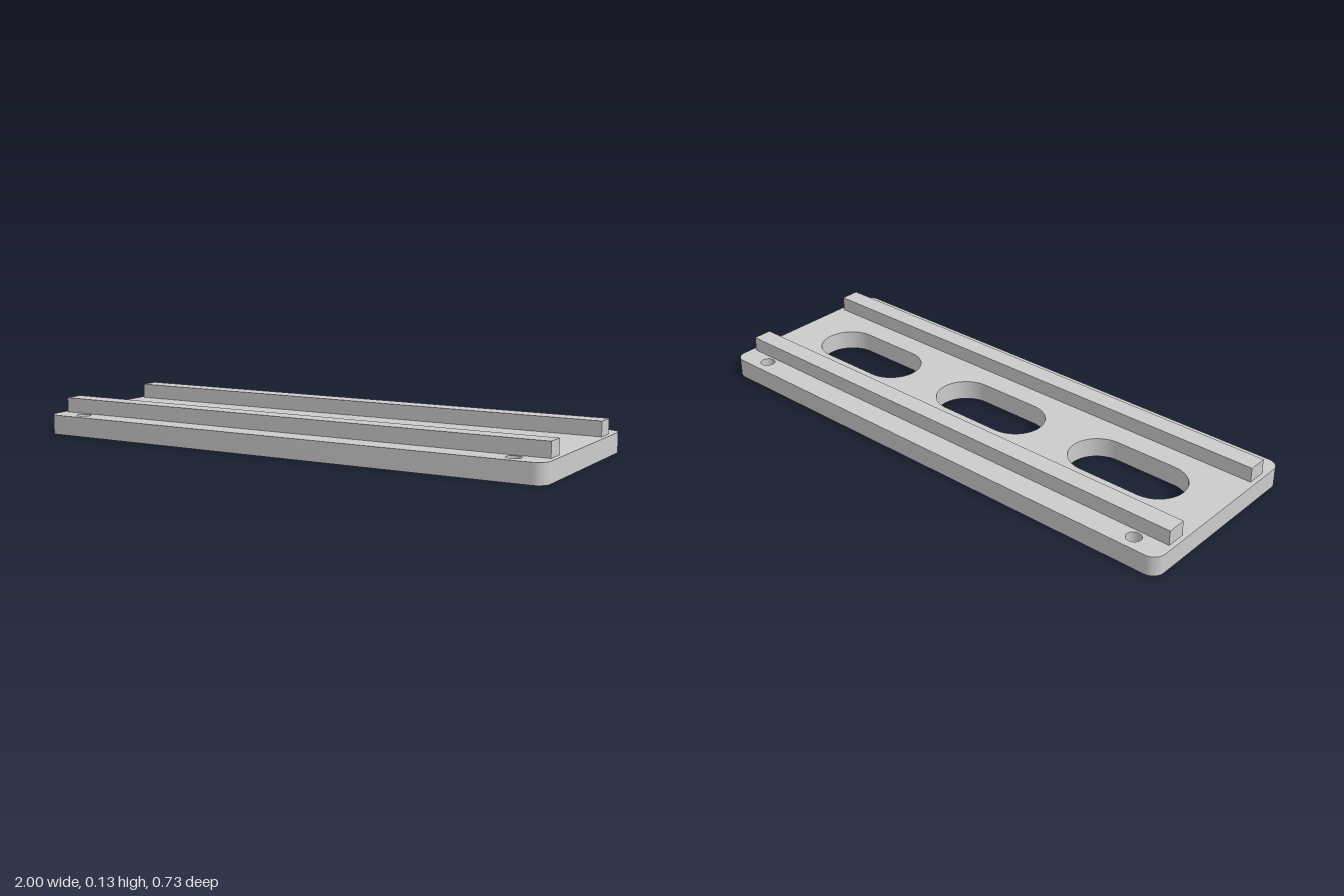
import * as THREE from 'three';
import { toCreasedNormals } from 'three/addons/utils/BufferGeometryUtils.js';

const WIDTH = 2, DEPTH = 0.728, THICKNESS = 0.073, CORNER = 0.045;
const RAIL = { length: 1.966, height: 0.055, depth: 0.073, z: 0.237 };

// Rounded rectangle outline centred on (cx, cy); also makes slots and round holes
function roundedRect(path, cx, cy, w, h, r) {
  const x = w / 2 - r, y = h / 2 - r;
  path.absarc(cx + x, cy + y, r, 0, Math.PI / 2);
  path.absarc(cx - x, cy + y, r, Math.PI / 2, Math.PI);
  path.absarc(cx - x, cy - y, r, Math.PI, Math.PI * 1.5);
  path.absarc(cx + x, cy - y, r, Math.PI * 1.5, Math.PI * 2);
  path.closePath();
  return path;
}

export function createModel() {
  const group = new THREE.Group();
  group.name = 'slottedRailPlate';
  const material = new THREE.MeshStandardMaterial({ color: 0xcccccc });

  // Base plate outline
  const outline = roundedRect(new THREE.Shape(), 0, 0, WIDTH, DEPTH, CORNER);

  // Three long slots along the middle
  for (const x of [-0.62, 0, 0.62]) {
    outline.holes.push(roundedRect(new THREE.Path(), x, 0, 0.458, 0.22, 0.11));
  }

  // Screw holes near the corners
  for (const x of [-0.873, 0.873]) {
    for (const z of [-0.309, 0.309]) {
      outline.holes.push(new THREE.Path().absarc(x, z, 0.027, 0, Math.PI * 2));
    }
  }

  const plateGeometry = new THREE.ExtrudeGeometry(outline, {
    depth: THICKNESS, bevelEnabled: false, curveSegments: 16,
  });
  plateGeometry.rotateX(-Math.PI / 2);
  const plate = new THREE.Mesh(toCreasedNormals(plateGeometry, Math.PI / 5), material);
  plate.name = 'basePlate';
  group.add(plate);

  // Two parallel rails on top
  const railGeometry = new THREE.BoxGeometry(RAIL.length, RAIL.height, RAIL.depth);
  for (const [name, side] of [['frontRail', 1], ['backRail', -1]]) {
    const rail = new THREE.Mesh(railGeometry, material);
    rail.name = name;
    rail.position.set(0, THICKNESS + RAIL.height / 2, side * RAIL.z);
    group.add(rail);
  }

  return group;
}
